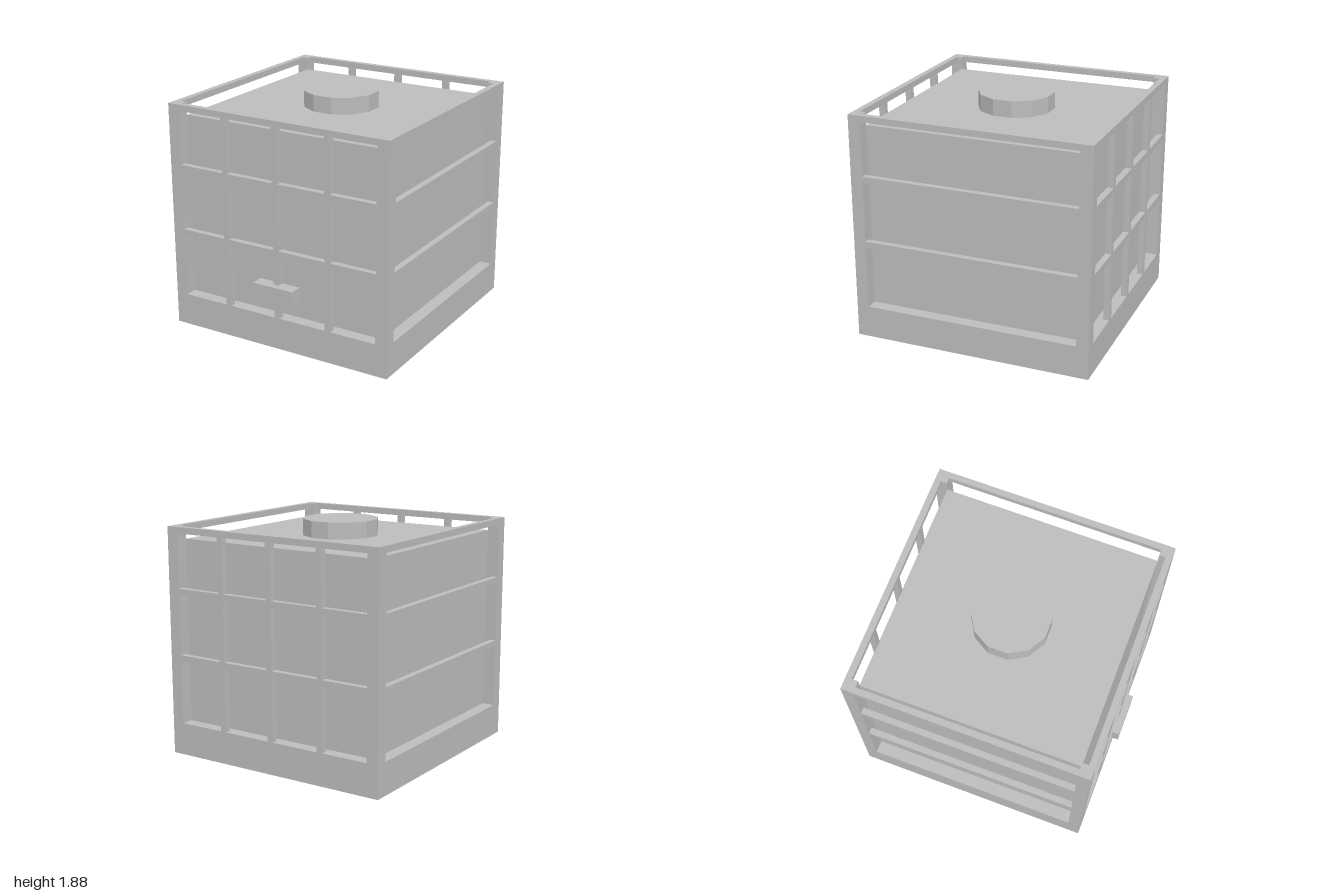
import * as THREE from 'three';

export function createModel() {
  const model = new THREE.Group();
  model.name = 'framedBlock';
  const grey = new THREE.MeshStandardMaterial({ color: 0xbcbcbc });
  grey.name = 'plain grey';

  const body = new THREE.Group();
  body.name = 'body';
  body.position.z = -0.027;
  model.add(body);

  const H = 0.973, POST = 0.1, BAR = 0.05, BASE = 0.263, TOP = 1.85;
  const inner = H - POST;

  // Box given by its lower and upper corner
  function box(name, x0, x1, y0, y1, z0, z1) {
    const mesh = new THREE.Mesh(new THREE.BoxGeometry(x1 - x0, y1 - y0, z1 - z0), grey);
    mesh.position.set((x0 + x1) / 2, (y0 + y1) / 2, (z0 + z1) / 2);
    mesh.name = name;
    body.add(mesh);
    return mesh;
  }

  // Solid base and recessed core
  box('base', -H, H, 0, BASE, -H, H);
  box('core', -inner, inner, BASE, 1.747, -inner, inner);

  // Corner posts
  for (const x of [-1, 1]) for (const z of [-1, 1]) {
    const cx = x * (H - POST / 2), cz = z * (H - POST / 2), h = POST / 2;
    box('cornerPost', cx - h, cx + h, BASE, TOP, cz - h, cz + h);
  }

  // Rails around all four sides at three levels
  const levels = [[0.777, 0.826], [1.314, 1.364], [1.8, TOP]];
  for (const s of [-1, 1]) {
    const a = s * (H - BAR / 2) - BAR / 2, b = a + BAR;
    for (const [y0, y1] of levels) {
      box('faceRail', -inner, inner, y0, y1, a, b);
      box('sideRail', a, b, y0, y1, -inner, inner);
    }
    // Mullions on front and back, fitted between the rails
    const spans = [[BASE, 0.777], [0.826, 1.314], [1.364, 1.8]];
    for (const x of [-0.458, 0, 0.458]) for (const [y0, y1] of spans)
      box('mullion', x - 0.024, x + 0.024, y0, y1, a, b);
  }

  // Twelve-sided roof disc with flats facing the sides
  const disc = new THREE.Mesh(
    new THREE.CylinderGeometry(0.305, 0.305, 0.133, 12).toNonIndexed(), grey);
  disc.geometry.computeVertexNormals();
  disc.rotation.y = Math.PI / 12;
  disc.position.y = 1.747 + 0.133 / 2;
  disc.name = 'roofDisc';
  body.add(disc);

  // Plate on the front
  box('frontPlate', -0.18, 0.18, 0.392, 0.543, H - BAR, 1.027);

  return model;
}
